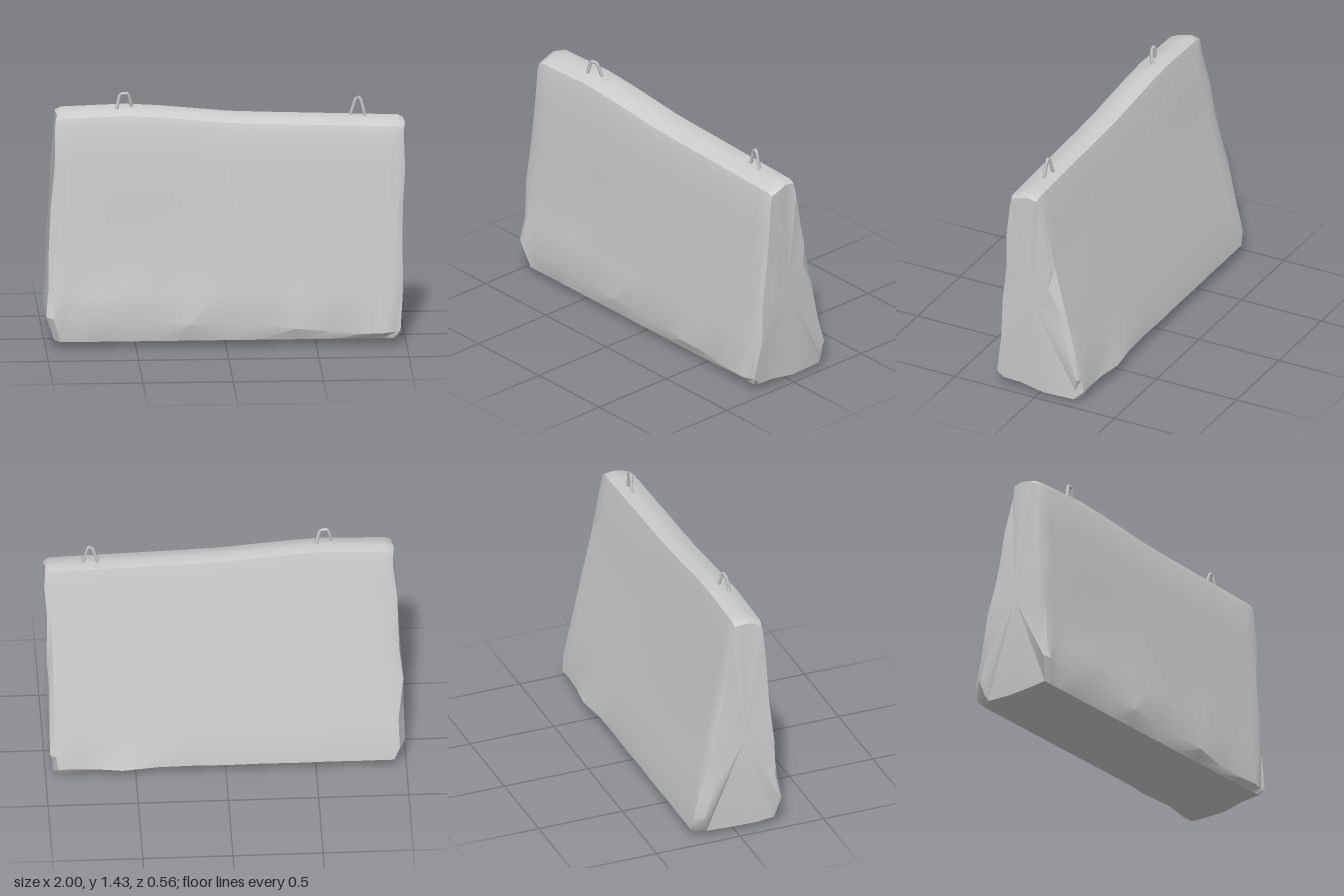
import * as THREE from 'three';
import { toCreasedNormals } from 'three/addons/utils/BufferGeometryUtils.js';

const { lerp, smoothstep } = THREE.MathUtils;

// Piecewise-linear lookup through [x, value] pairs
function along(pairs, x) {
  for (let i = 1; i < pairs.length; i++) {
    const [x0, v0] = pairs[i - 1], [x1, v1] = pairs[i];
    if (x <= x1) return lerp(v0, v1, Math.max(0, (x - x0) / (x1 - x0)));
  }
  return pairs[pairs.length - 1][1];
}

// Cross-section [z, y], up the front, over the top, down the back, along the bottom
const profile = [
  [0.235, 0.04], [0.258, 0.14], [0.238, 0.32], [0.22, 0.55], [0.203, 0.8], [0.185, 1.05],
  [0.172, 1.25], [0.16, 1.297], [0.11, 1.322], [0.05, 1.335], [-0.008, 1.325], [-0.028, 1.25],
  [-0.065, 1.05], [-0.105, 0.86], [-0.135, 0.72], [-0.172, 0.55], [-0.225, 0.32],
  [-0.262, 0.15], [-0.27, 0.07], [-0.235, 0.035], [-0.04, 0.028], [0.12, 0.03],
];
const topLine = [[-1, 1.333], [-0.5, 1.35], [0.05, 1.297], [1, 1.265]];
const frontEdge = [[-1, 0.18], [-0.6, 0.155], [-0.1, 0.13], [0.25, 0.125], [0.7, 0.07], [1, 0.08]];
const leftSide = [[0.03, 0.955], [0.15, 0.972], [0.8, 0.985], [1.26, 0.992]];
const rightSide = [[0.03, -0.95], [0.15, -0.998], [0.5, -0.985], [0.8, -0.967], [1.33, -0.938]];

// Worn concrete body lofted along x
function barrierBody() {
  const stations = [0, 0.018, 0.05, 0.12, 0.2, 0.3, 0.4, 0.5, 0.6, 0.7, 0.8, 0.88, 0.95, 0.985, 1];
  const n = profile.length, last = stations.length - 1, pos = [], index = [];
  stations.forEach((t, i) => {
    profile.forEach(([pz, py], j) => {
      let z = pz, y = py;
      let x = lerp(along(rightSide, py), along(leftSide, py), t);
      y = lerp(y, y * along(topLine, x) / 1.335, smoothstep(y, 0.3, 1.2));
      if (j === 1) {
        y = along(frontEdge, x);
        z += 0.012 * Math.sin(i * 2.3);
      }
      // chips along the lower back edge and a sag underneath
      if (j === 18) z -= t > 0.75 && t < 0.85 ? 0.025 : 0.006 * Math.sin(i * 3.1);
      if (j === 20 && i === 6) y = 0;
      if ((j === 19 || j === 20) && i >= last - 2) y -= 0.02;
      // shallow hollow low on the front face
      if (j === 3) z -= 0.012 * Math.exp(-(((x + 0.5) / 0.3) ** 2));
      // ragged, slightly narrowed rims at both ends
      if (i === 0 || i === last) {
        const s = 0.92 + 0.035 * Math.sin(j * 2.7);
        z = 0.06 + (z - 0.06) * s;
        y = 0.6 + (y - 0.6) * 0.98;
        x += 0.006 * Math.sin(j * 4.1);
        if (i === 0 && j > 15 && j < 20) z += 0.04;
        if (i === last && j === 14) z += 0.04;
      }
      pos.push(x, y, z);
    });
  });
  for (let i = 0; i < last; i++) {
    for (let j = 0; j < n; j++) {
      const k = (j + 1) % n;
      const a = i * n + j, b = a + n, c = (i + 1) * n + k, d = i * n + k;
      index.push(a, b, c, a, c, d);
    }
  }
  // end faces
  const centre = pos.length / 3;
  pos.push(-0.982, 0.6, 0.03, 0.985, 0.6, 0.03);
  for (let j = 0; j < n; j++) {
    const k = (j + 1) % n;
    index.push(centre, j, k, centre + 1, last * n + k, last * n + j);
  }
  const g = new THREE.BufferGeometry();
  g.setAttribute('position', new THREE.Float32BufferAttribute(pos, 3));
  g.setIndex(index);
  return toCreasedNormals(g, 0.5);
}

// Bent steel lifting loop through a few points
function liftingLoop(points) {
  const path = new THREE.CurvePath();
  const v = points.map((p) => new THREE.Vector3(...p));
  for (let i = 1; i < v.length; i++) path.add(new THREE.LineCurve3(v[i - 1], v[i]));
  return new THREE.TubeGeometry(path, 18, 0.01, 5).toNonIndexed();
}

export function createModel() {
  const model = new THREE.Group();
  model.name = 'concreteBarrier';
  const material = new THREE.MeshStandardMaterial({ color: 0xcccccc });
  const add = (name, geometry) => {
    const mesh = new THREE.Mesh(geometry, material);
    mesh.name = name;
    model.add(mesh);
  };
  add('barrierBody', barrierBody());
  add('rightLiftingLoop', liftingLoop([
    [-0.608, 1.31, 0.1], [-0.582, 1.42, 0.09], [-0.535, 1.42, 0.085], [-0.51, 1.31, 0.06],
  ]));
  add('leftLiftingLoop', liftingLoop([
    [0.69, 1.25, 0.045], [0.725, 1.362, 0.055], [0.738, 1.378, 0.055], [0.755, 1.362, 0.055], [0.782, 1.25, 0.06],
  ]));
  return model;
}
